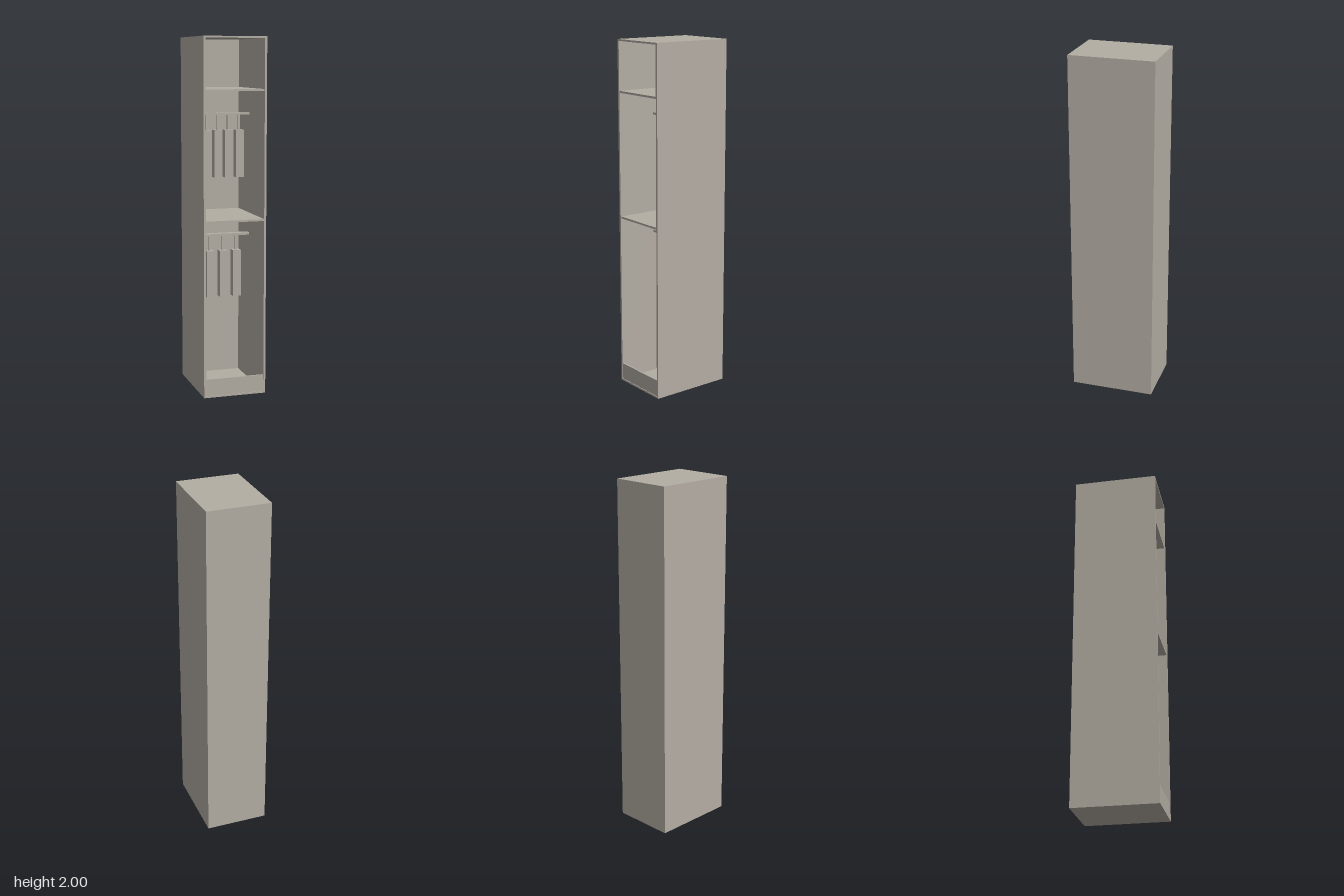
import * as THREE from 'three';

export function createModel() {
  const model = new THREE.Group();
  model.name = 'wardrobe';
  const board = new THREE.MeshStandardMaterial({ color: 0xb3ada3 });
  board.name = 'warm grey board';

  const W = 0.36, H = 2, D = 0.48, T = 0.012, TOP = 0.01;
  const inner = W - 2 * T;

  // Box given by its size and centre
  function box(name, w, h, d, x, y, z, parent = model) {
    const mesh = new THREE.Mesh(new THREE.BoxGeometry(w, h, d), board);
    mesh.name = name;
    mesh.position.set(x, y, z);
    parent.add(mesh);
    return mesh;
  }

  // Carcass
  for (const s of [1, -1]) {
    box(s > 0 ? 'leftSide' : 'rightSide', T, H, D, s * (W - T) / 2, H / 2, 0);
  }
  box('topPanel', inner, TOP, D, 0, H - TOP / 2, 0);
  box('floorPanel', inner, TOP, D, 0, TOP / 2, 0);
  box('backPanel', inner, H - 2 * TOP, TOP, 0, H / 2, -D / 2 + TOP / 2);

  // Plinth board and shelves, set back slightly from the front edge
  const recess = 0.004;
  box('plinth', inner, 0.095, TOP, 0, 0.0575, D / 2 - recess - TOP / 2);
  const shelfDepth = D - TOP - recess;
  for (const y of [0.993, 1.71]) {
    box('shelf', inner, 0.011, shelfDepth, 0, y, (TOP - recess) / 2);
  }

  // Hanging rail with garments on thin stems
  function hangingRail(name, railTop, count, spacing, stem) {
    const group = new THREE.Group();
    group.name = name;
    const railHeight = 0.013, garmentTop = railTop - 0.098, garmentHeight = 0.269;
    box('rail', 0.306, railHeight, 0.04, 0, railTop - railHeight / 2, 0, group);
    const stemHeight = railTop - railHeight - garmentTop;
    for (let i = 0; i < count; i++) {
      const x = (i - (count - 1) / 2) * spacing;
      box('hangerStem', stem, stemHeight, stem, x, garmentTop + stemHeight / 2, 0, group);
      box('garment', 0.048, garmentHeight, 0.048, x, garmentTop - garmentHeight / 2, 0, group);
    }
    model.add(group);
  }
  hangingRail('upperHangingRail', 1.58, 4, 0.063, 0.012);
  hangingRail('lowerHangingRail', 0.89, 3, 0.078, 0.009);

  return model;
}
